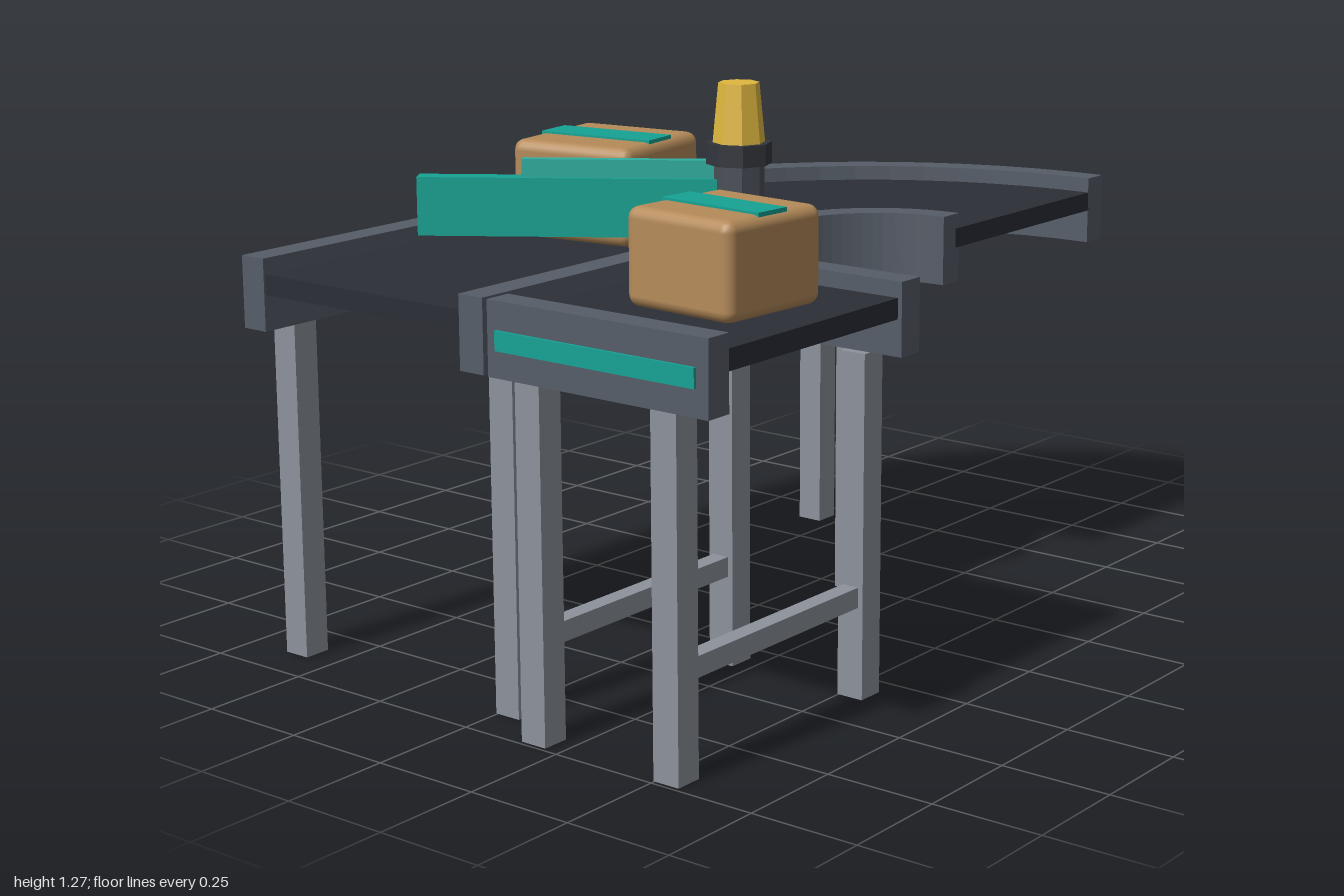
import * as THREE from 'three';
import { RoundedBoxGeometry } from 'three/addons/geometries/RoundedBoxGeometry.js';

const mat = (color) => new THREE.MeshStandardMaterial({ color, flatShading: true });
const rail = mat(0x565d68), belt = mat(0x2c2e36), steel = mat(0x8d939c), teal = mat(0x16a394);
const post = mat(0x4b4f58), collarMat = mat(0x33363d), amber = mat(0xe0b840);
const card = new THREE.MeshStandardMaterial({ color: 0xb58b5a });

const RAIL_LOW = 0.76, RAIL_TOP = 0.92, BELT_LOW = 0.84, BELT_TOP = 0.885;
const CX = 0.31, CZ = -0.045; // centre of the bend

export function createModel() {
  const model = new THREE.Group();

  const add = (name, geometry, material, parent = model) => {
    const mesh = new THREE.Mesh(geometry, material);
    mesh.name = name;
    parent.add(mesh);
    return mesh;
  };
  // box given by its limits on each axis
  const box = (name, material, [x0, x1], [y0, y1], [z0, z1], parent = model) => {
    const mesh = add(name, new THREE.BoxGeometry(x1 - x0, y1 - y0, z1 - z0), material, parent);
    mesh.position.set((x0 + x1) / 2, (y0 + y1) / 2, (z0 + z1) / 2);
    return mesh;
  };
  // quarter ring around the centre of the bend
  const bend = (name, material, r0, r1, y0, y1) => {
    const shape = new THREE.Shape();
    shape.absarc(CX, -CZ, r1, Math.PI / 2, Math.PI, false);
    shape.absarc(CX, -CZ, r0, Math.PI, Math.PI / 2, true);
    const geometry = new THREE.ExtrudeGeometry(shape, { depth: y1 - y0, bevelEnabled: false, curveSegments: 8 });
    geometry.rotateX(-Math.PI / 2);
    add(name, geometry, material).position.y = y0;
  };
  const railY = [RAIL_LOW, RAIL_TOP], beltY = [BELT_LOW, BELT_TOP], stripY = [0.818, 0.86];

  // straight conveyor
  box('mainBelt', belt, [-0.58, 0], beltY, [-0.03, 0.98]);
  box('mainRailRight', rail, [-0.64, -0.575], railY, [-0.035, 0.985]);
  box('mainRailLeft', rail, [-0.005, 0.06], railY, [-0.035, 0.985]);
  box('mainStrip', teal, [0.055, 0.067], stripY, [0, 0.95]);

  // curved conveyor
  bend('bendBelt', belt, 0.3, 0.9, BELT_LOW, BELT_TOP);
  bend('bendInnerRail', rail, 0.25, 0.313, RAIL_LOW, RAIL_TOP);
  bend('bendOuterRail', rail, 0.89, 0.955, RAIL_LOW, RAIL_TOP);
  for (let i = 0; i < 6; i++) {
    const a = ((i + 0.5) * Math.PI) / 12;
    const strip = add('bendStrip', new THREE.BoxGeometry(0.15, 0.042, 0.012), teal);
    strip.position.set(CX - 0.951 * Math.sin(a), 0.839, CZ - 0.951 * Math.cos(a));
    strip.rotation.y = a;
  }

  // side conveyor
  box('sideBelt', belt, [0.08, 0.63], beltY, [0.34, 0.935]);
  box('sideRailBack', rail, [0.075, 0.64], railY, [0.285, 0.35]);
  box('sideRailFront', rail, [0.075, 0.64], railY, [0.925, 0.988]);
  box('sideStripBack', teal, [0.1, 0.61], stripY, [0.278, 0.29]);
  box('sideStripFront', teal, [0.1, 0.61], stripY, [0.98, 0.995]);
  box('sideCrossMember', steel, [0.155, 0.205], [0.807, BELT_LOW], [0.35, 0.925]);

  // legs and their braces
  const legs = [
    [-0.607, 0.87], [0.028, 0.87], [-0.32, -0.667], [0.09, -0.258],
    [0.18, 0.338], [0.53, 0.338], [0.18, 0.958], [0.53, 0.958],
  ];
  for (const [x, z] of legs) {
    box('leg', steel, [x - 0.032, x + 0.032], [0, RAIL_LOW], [z - 0.032, z + 0.032]);
  }
  for (const x of [0.18, 0.53]) {
    box('legBrace', steel, [x - 0.02, x + 0.02], [0.205, 0.25], [0.365, 0.93]);
  }

  // beacon post
  const tower = new THREE.Group();
  tower.name = 'beaconPost';
  tower.position.set(0.127, 0, 0.235);
  model.add(tower);
  const ring = (name, material, rTop, rLow, y0, y1) => {
    add(name, new THREE.CylinderGeometry(rTop, rLow, y1 - y0, 8), material, tower).position.y = (y0 + y1) / 2;
  };
  ring('post', post, 0.056, 0.056, 0.745, 1.11);
  ring('collar', collarMat, 0.072, 0.072, 1.098, 1.145);
  ring('beacon', amber, 0.045, 0.058, 1.14, 1.275);

  // diverter arm reaching from the post across the belt
  const arm = new THREE.Group();
  arm.name = 'diverterArm';
  arm.position.set(0.1, 0, 0.255);
  arm.rotation.y = 0.605;
  model.add(arm);
  box('armPaddle', teal, [-0.67, 0], [0.935, 1.065], [-0.022, 0.022], arm);
  box('armRidge', mat(0x2fb0a2), [-0.44, -0.015], [1.06, 1.105], [-0.012, 0.012], arm);

  // parcels with a band of tape on top
  const parcel = (x, z, size, top, turn) => {
    const group = new THREE.Group();
    group.name = 'parcel';
    group.position.set(x, 0, z);
    group.rotation.y = turn;
    model.add(group);
    const h = top - BELT_TOP - 0.005;
    add('carton', new RoundedBoxGeometry(size, h, size, 2, 0.025), card, group).position.y = top - h / 2;
    box('tape', teal, [-size * 0.46, size * 0.46], [top - 0.01, top + 0.005], [-size * 0.15, size * 0.15], group);
  };
  parcel(-0.292, 0.188, 0.312, 1.113, 0.14);
  parcel(0.401, 0.637, 0.285, 1.097, -0.07);

  return model;
}
